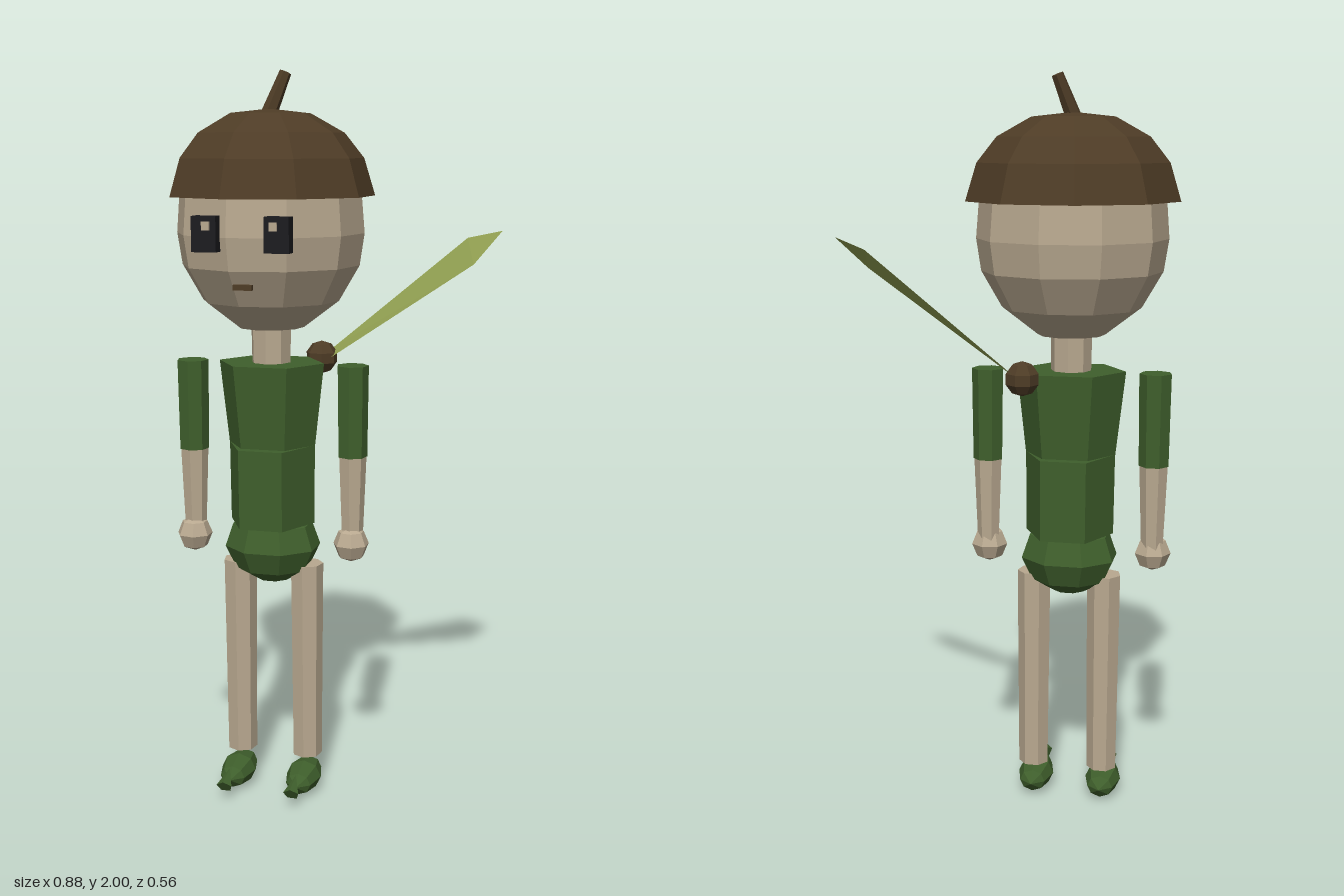
import * as THREE from 'three';

const mat = (name, color, side = THREE.FrontSide) => {
  const m = new THREE.MeshStandardMaterial({ color, side });
  m.name = name;
  return m;
};

export function createModel() {
  const model = new THREE.Group();
  model.name = 'acornSprite';
  const body = new THREE.Group();
  body.name = 'body';
  body.position.x = -0.163;
  model.add(body);

  const skin = mat('skin', 0xb9a990);
  const green = mat('cloth green', 0x3f5f2c);
  const brown = mat('cap brown', 0x4e3c26, THREE.DoubleSide);
  const black = mat('eye black', 0x1c1c20);
  const leafGreen = mat('leaf green', 0x94a353, THREE.DoubleSide);

  // Facets every geometry so each face has its own flat normal
  const add = (parent, name, geometry, material, x = 0, y = 0, z = 0) => {
    const g = geometry.index ? geometry.toNonIndexed() : geometry;
    g.computeVertexNormals();
    const mesh = new THREE.Mesh(g, material);
    mesh.name = name;
    mesh.position.set(x, y, z);
    parent.add(mesh);
    return mesh;
  };
  // Faceted solid of revolution from [radius, height] pairs, bottom to top
  const lathe = (pts, sides, start = 0) =>
    new THREE.LatheGeometry(pts.map(p => new THREE.Vector2(...p)), sides, start);
  const rod = (rTop, rBottom, y0, y1, sides, turn = 0) =>
    new THREE.CylinderGeometry(rTop, rBottom, y1 - y0, sides, 1, false, turn).translate(0, (y0 + y1) / 2, 0);

  // Head and neck
  add(body, 'head', lathe([[0, 1.325], [0.09, 1.328], [0.185, 1.4], [0.24, 1.495], [0.253, 1.58],
    [0.245, 1.68], [0.185, 1.78], [0, 1.82]], 10, Math.PI / 10 + 0.14), skin);
  add(body, 'neck', rod(0.056, 0.054, 1.22, 1.35, 8), skin);

  // Acorn cap with open rim and bent stem
  add(body, 'cap', lathe([[0.245, 1.69], [0.282, 1.677], [0.252, 1.775], [0.2, 1.84], [0.11, 1.89], [0, 1.902]],
    9, -Math.PI / 2), brown);
  const stem = add(body, 'capStem', rod(0.016, 0.022, -0.06, 0.06, 6), brown, 0.018, 1.94, -0.012);
  stem.rotation.set(-0.2, 0, -0.35);

  // Mouth
  add(body, 'mouth', new THREE.BoxGeometry(0.05, 0.014, 0.014), brown, 0, 1.457, 0.248);

  // Torso
  add(body, 'chest', rod(0.148, 0.122, 1.0, 1.232, 6, Math.PI / 2).scale(1, 1, 0.87), green);
  add(body, 'waist', rod(0.122, 0.12, 0.785, 1.005, 6, Math.PI / 2).scale(1, 1, 1.13), green);
  add(body, 'hips', lathe([[0, 0.613], [0.045, 0.618], [0.105, 0.652], [0.135, 0.715], [0.112, 0.78], [0, 0.8]],
    8, Math.PI / 8).scale(1, 1, 0.87), green);

  // Paired parts
  for (const s of [-1, 1]) {
    const side = s > 0 ? 'left' : 'right';
    add(body, side + 'Eye', new THREE.BoxGeometry(0.065, 0.09, 0.04), black, s * 0.095, 1.59, 0.25);
    add(body, side + 'EyeGlint', new THREE.BoxGeometry(0.02, 0.022, 0.008), skin, s * 0.088, 1.611, 0.274);

    add(body, side + 'Sleeve', rod(0.044, 0.041, 0.98, 1.23, 7), green, s * 0.227);
    add(body, side + 'Forearm', rod(0.039, 0.03, 0.75, 0.98, 7), skin, s * 0.227);
    add(body, side + 'Hand', new THREE.SphereGeometry(0.05, 7, 4), skin, s * 0.227, 0.735, 0.01);

    add(body, side + 'Leg', rod(0.047, 0.042, 0.1, 0.668, 7), skin, s * 0.097);

    // Slipper: a flat faceted oval with a curled pointed toe
    add(body, side + 'Shoe', new THREE.SphereGeometry(1, 8, 4).rotateX(Math.PI / 2).scale(0.05, 0.044, 0.088),
      green, s * 0.097, 0.046, 0.037);
    const toe = add(body, side + 'ShoeTip', new THREE.ConeGeometry(0.023, 0.06, 5), green, s * 0.097, 0.066, 0.148);
    toe.rotation.x = -0.98;
  }

  // Leaf blade rising from a round bead behind the shoulder
  const leaf = new THREE.Group();
  leaf.name = 'leafWing';
  model.add(leaf);
  add(leaf, 'leafBead', new THREE.SphereGeometry(0.046, 7, 5), brown, -0.058, 1.228, -0.143);
  const blade = new THREE.BufferGeometry();
  blade.setAttribute('position', new THREE.Float32BufferAttribute([
    -0.035, 1.225, -0.118, 0.375, 1.5, -0.07, 0.44, 1.585, -0.145,
    0.335, 1.56, -0.225, -0.035, 1.25, -0.188], 3));
  blade.setIndex([0, 1, 4, 1, 3, 4, 1, 2, 3]);
  add(leaf, 'leafBlade', blade, leafGreen);

  return model;
}
